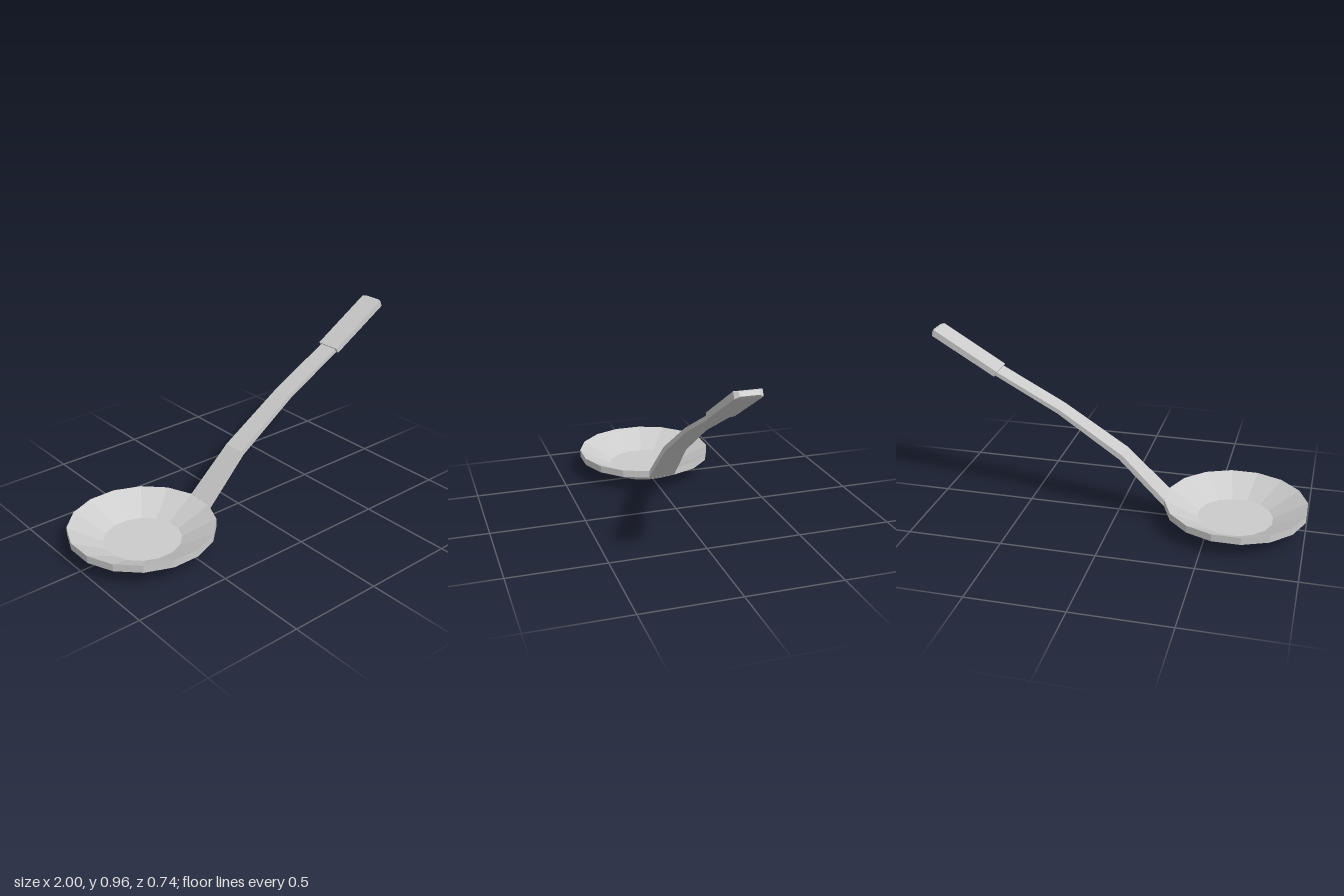
import * as THREE from 'three';

const material = new THREE.MeshStandardMaterial({ color: 0xcccccc, flatShading: true });

// Lofts a rectangular bar through sections [topX, topY, bottomX, bottomY, halfWidth], running towards +x.
function loftBar(name, sections) {
  const positions = [];
  const index = [];
  for (const [tx, ty, bx, by, w] of sections) {
    positions.push(tx, ty, w, tx, ty, -w, bx, by, -w, bx, by, w);
  }
  for (let s = 0; s < sections.length - 1; s++) {
    for (let i = 0; i < 4; i++) {
      const a = s * 4 + i;
      const b = s * 4 + (i + 1) % 4;
      index.push(a, a + 4, b + 4, a, b + 4, b);
    }
  }
  const e = (sections.length - 1) * 4;
  index.push(0, 1, 2, 0, 2, 3, e, e + 2, e + 1, e, e + 3, e + 2);

  const indexed = new THREE.BufferGeometry();
  indexed.setAttribute('position', new THREE.Float32BufferAttribute(positions, 3));
  indexed.setIndex(index);
  const geometry = indexed.toNonIndexed();
  geometry.computeVertexNormals();
  const mesh = new THREE.Mesh(geometry, material);
  mesh.name = name;
  return mesh;
}

export function createModel() {
  const group = new THREE.Group();
  group.name = 'ladle';

  // Shallow 16-sided bowl: flat base, sloped wall, short upright rim, hollow inside
  const profile = [
    [0, 0], [0.197, 0], [0.376, 0.086], [0.376, 0.125], [0.2, 0.034], [0, 0.034],
  ].map(([r, y]) => new THREE.Vector2(r, y));
  const bowl = new THREE.Mesh(new THREE.LatheGeometry(profile, 16, Math.PI / 16), material);
  bowl.name = 'bowl';
  bowl.position.x = -0.631;
  group.add(bowl);

  // Bent handle growing out of one rim facet
  group.add(loftBar('handle', [
    [-0.263, 0.125, -0.263, 0.086, 0.073],
    [-0.03, 0.352, -0.014, 0.328, 0.06],
    [0.308, 0.573, 0.32, 0.553, 0.054],
    [0.65, 0.756, 0.66, 0.737, 0.053],
  ]));

  // Wider grip with a bevelled end
  group.add(loftBar('grip', [
    [0.642, 0.76, 0.658, 0.733, 0.066],
    [0.975, 0.961, 0.99, 0.93, 0.066],
    [0.989, 0.96, 0.999, 0.942, 0.045],
  ]));

  return group;
}
